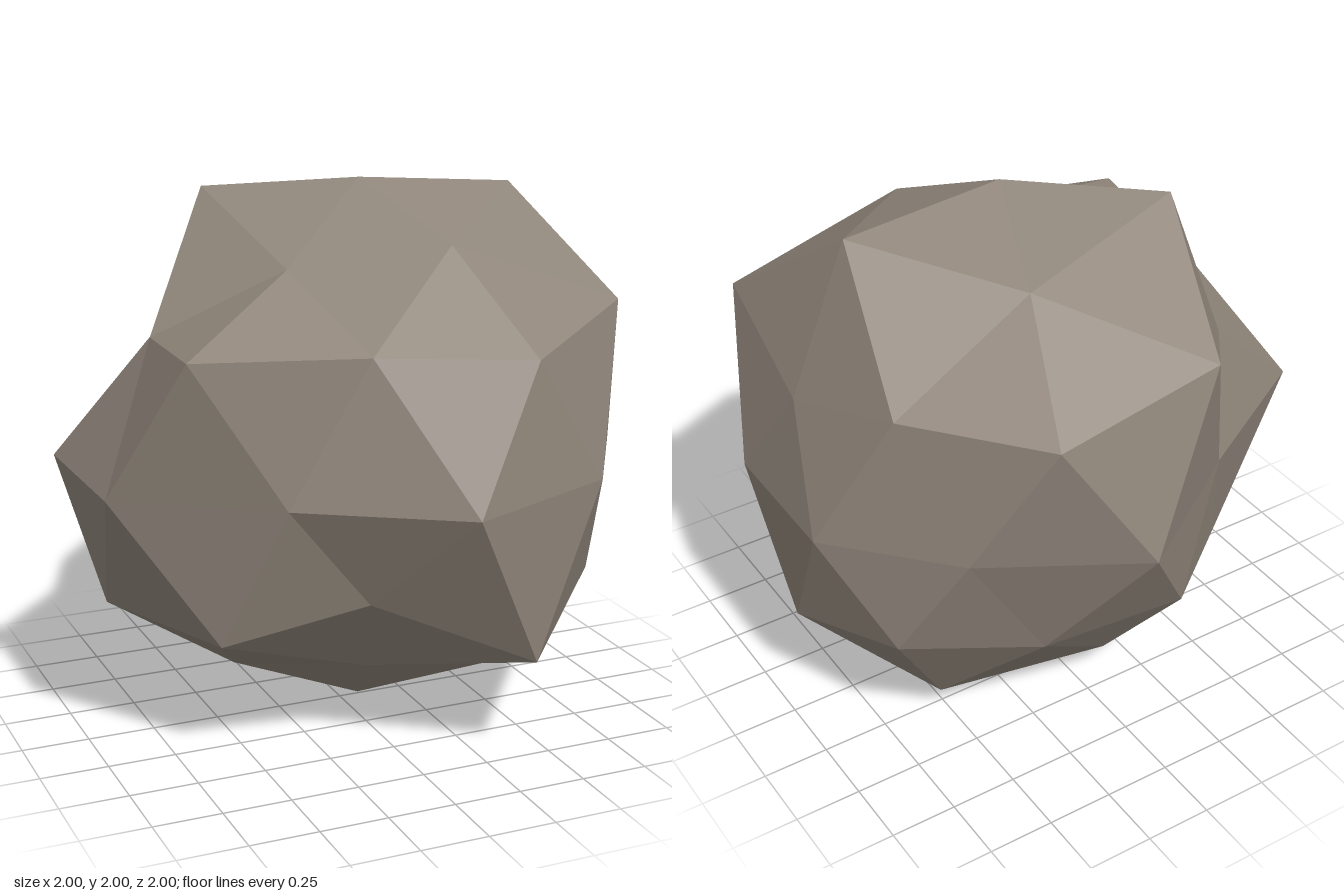
import * as THREE from 'three';

// Faceted boulder: a twice-divided icosahedron, laid out as rings of latitude
// around a vertical axis, with every corner pushed in or out along its ray.
const CENTRE = new THREE.Vector3(0.08, 1, -0.012);
const STRETCH = new THREE.Vector3(1.03, 1, 0.915);
const DEG = Math.PI / 180;

// Latitude heights: corners of the icosahedron and midpoints of its edges
const CORNER = 0.4472, MID = 0.5257, CAP = 0.8507;

// One ring of corners: heights alternate through the list, radii run by angle
function ring(heights, startDeg, radii) {
  return radii.map((r, i) => {
    const y = heights[i % heights.length];
    const flat = Math.sqrt(1 - y * y);
    const a = (startDeg + (i * 360) / radii.length) * DEG;
    return new THREE.Vector3(flat * Math.cos(a), y, flat * Math.sin(a)).multiplyScalar(r);
  });
}

function boulderGeometry() {
  const top = new THREE.Vector3(0, 1, 0);
  const bottom = new THREE.Vector3(0, -1, 0);
  const crown = ring([CAP], 0, [1.12, 0.955, 0.86, 1.12, 0.975]);
  const upper = ring([CORNER, MID], 0,
    [0.9, 1.115, 1.065, 0.975, 1.145, 0.914, 0.88, 1.16, 1.11, 0.97]);
  const waist = ring([0], 18,
    [0.937, 1.01, 1.106, 0.9, 1.095, 1.105, 0.862, 1.08, 0.905, 0.94]);
  const lower = ring([-MID, -CORNER], 0,
    [1.005, 0.97, 1.15, 0.845, 1.012, 1.075, 0.965, 0.99, 0.92, 0.965]);
  const foot = ring([-CAP], 36, [0.985, 0.845, 0.935, 1.0, 1.045]);

  const positions = [];
  // Adds a triangle, wound so that it faces away from the centre
  const face = (a, b, c) => {
    const outward = new THREE.Vector3().crossVectors(b, c).dot(a) > 0;
    for (const v of outward ? [a, b, c] : [a, c, b]) {
      const p = v.clone().multiply(STRETCH).add(CENTRE);
      positions.push(p.x, p.y, p.z);
    }
  };
  // Pole, ring of five and ring of ten; shift is where the ten meets the five
  const cap = (pole, five, ten, shift) => {
    for (let k = 0; k < 5; k++) {
      const a = five[k], b = five[(k + 1) % 5];
      const t = (i) => ten[(2 * k + shift + i) % 10];
      face(pole, a, b);
      face(a, b, t(1));
      face(a, t(0), t(1));
      face(b, t(1), t(2));
    }
  };
  cap(top, crown, upper, 0);
  cap(bottom, foot, lower, 1);

  // Two zigzag belts meeting at the waist
  for (const belt of [upper, lower]) {
    for (let j = 0; j < 10; j++) {
      const n = (j + 1) % 10;
      face(belt[j], belt[n], waist[j]);
      face(waist[j], waist[n], belt[n]);
    }
  }

  const geometry = new THREE.BufferGeometry();
  geometry.setAttribute('position', new THREE.Float32BufferAttribute(positions, 3));
  geometry.computeVertexNormals();
  return geometry;
}

export function createModel() {
  const stone = new THREE.MeshStandardMaterial({ color: 0x8f857a });
  stone.name = 'stone';
  stone.flatShading = true;

  const boulder = new THREE.Mesh(boulderGeometry(), stone);
  boulder.name = 'boulder';

  const group = new THREE.Group();
  group.name = 'rock';
  group.add(boulder);
  return group;
}
